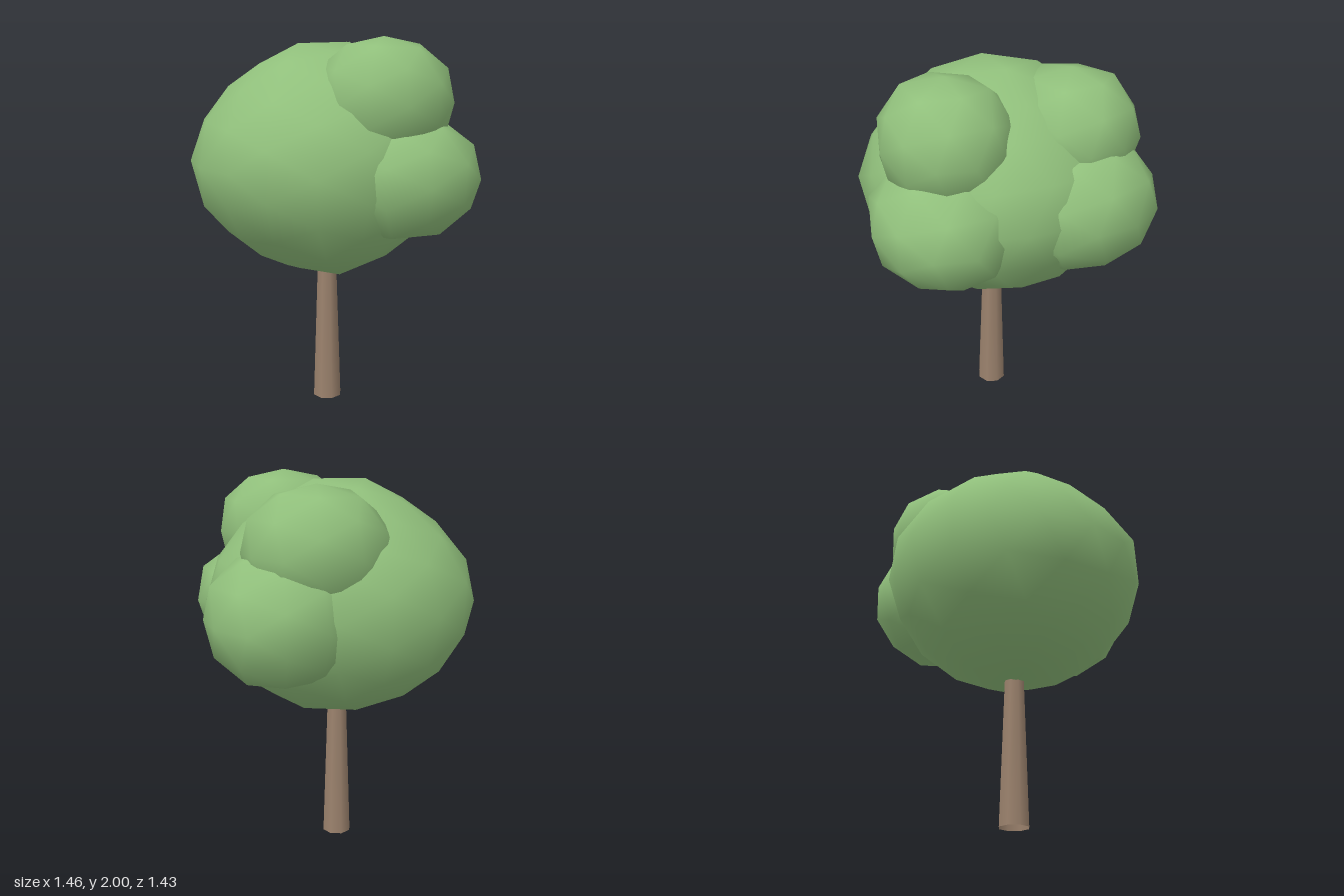
import * as THREE from 'three';
import { mergeVertices } from 'three/addons/utils/BufferGeometryUtils.js';

const leafMaterial = new THREE.MeshStandardMaterial({ color: 0x90bf7b });
const barkMaterial = new THREE.MeshStandardMaterial({ color: 0x9b826d, side: THREE.DoubleSide });

// Coarse, slightly uneven ball of leaves with smooth normals.
// upper and lower swell (or, if negative, slim) its shoulders above and below the middle.
function leafBall(name, center, radii, { detail = 1, turn = 0, upper = 0.05, lower = 0.04 } = {}) {
  let geometry = new THREE.IcosahedronGeometry(1, detail);
  geometry.deleteAttribute('uv');
  geometry.deleteAttribute('normal');
  geometry = mergeVertices(geometry, 1e-3);
  geometry.rotateY(turn);
  const position = geometry.attributes.position;
  const v = new THREE.Vector3();
  for (let i = 0; i < position.count; i++) {
    v.fromBufferAttribute(position, i);
    const shoulder = 4 * v.y * v.y * (1 - v.y * v.y) * (v.y > 0 ? upper : lower);
    const bump = 0.02 * Math.sin(5 * v.x + 3 * v.y + 1) * Math.cos(4 * v.z - 2 * v.y);
    v.multiplyScalar(1 + shoulder + bump);
    position.setXYZ(i, v.x * radii[0], v.y * radii[1], v.z * radii[2]);
  }
  geometry.computeVertexNormals();
  const mesh = new THREE.Mesh(geometry, leafMaterial);
  mesh.name = name;
  mesh.position.set(...center);
  return mesh;
}

export function createModel() {
  const tree = new THREE.Group();
  tree.name = 'tree';

  // Tapered hollow trunk, running a little way into the crown
  const trunk = new THREE.Mesh(new THREE.CylinderGeometry(0.053, 0.08, 0.8, 8, 1, true), barkMaterial);
  trunk.name = 'trunk';
  trunk.position.set(-0.034, 0.4, -0.033);
  tree.add(trunk);

  // Main crown, slimmer towards its top and bottom
  tree.add(leafBall('crown', [-0.045, 1.365, -0.045], [0.7, 0.62, 0.695],
    { detail: 2, upper: -0.065, lower: -0.03 }));

  // Four smaller clumps on the left side of the crown
  tree.add(
    leafBall('upperFrontClump', [0.15, 1.685, 0.295], [0.355, 0.315, 0.33]),
    leafBall('upperBackClump', [0.19, 1.65, -0.35], [0.365, 0.315, 0.34], { turn: 0.3 }),
    leafBall('lowerFrontClump', [0.23, 1.31, 0.35], [0.405, 0.315, 0.37]),
    leafBall('lowerBackClump', [0.36, 1.335, -0.32], [0.375, 0.335, 0.4], { turn: 0.3 }),
  );
  return tree;
}
